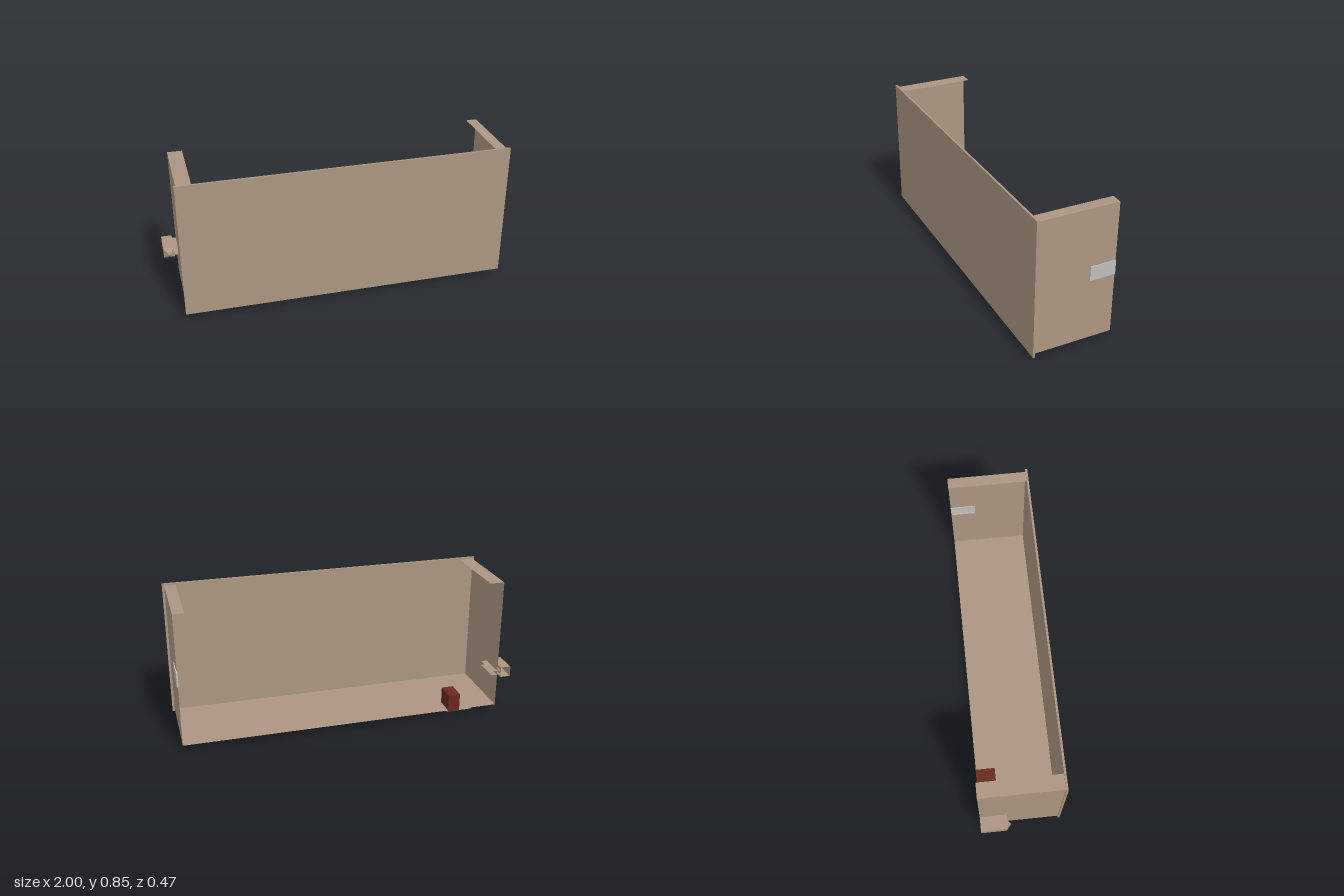
import * as THREE from 'three';

const tan = new THREE.MeshStandardMaterial({ color: 0xac9681, side: THREE.DoubleSide });
tan.name = 'tan panel';
const grey = new THREE.MeshStandardMaterial({ color: 0xc0beb9, side: THREE.DoubleSide });
grey.name = 'pale grey';
const red = new THREE.MeshStandardMaterial({ color: 0x6a2a21 });
red.name = 'dark red';

export function createModel() {
  const model = new THREE.Group();
  const xL = 0.985, xR = -0.915, yB = 0.045, yT = 0.836, zF = 0.225, zB = -0.237;

  function add(name, geometry, material, parent = model) {
    const mesh = new THREE.Mesh(geometry, material);
    mesh.name = name;
    parent.add(mesh);
    return mesh;
  }
  // Block or, where one extent is zero, a single open sheet
  function slab(name, material, [x0, x1], [y0, y1], [z0, z1], parent) {
    const w = x1 - x0, h = y1 - y0, d = z1 - z0;
    let g;
    if (w === 0) g = new THREE.PlaneGeometry(d, h).rotateY(Math.PI / 2);
    else if (h === 0) g = new THREE.PlaneGeometry(w, d).rotateX(-Math.PI / 2);
    else if (d === 0) g = new THREE.PlaneGeometry(w, h);
    else g = new THREE.BoxGeometry(w, h, d);
    g.translate((x0 + x1) / 2, (y0 + y1) / 2, (z0 + z1) / 2);
    return add(name, g, material, parent);
  }

  // Tray: front panel, thin walls, floor and top flanges
  slab('frontPanel', tan, [-0.925, 0.998], [0.031, 0.848], [zF, -zB]);
  slab('floor', tan, [xR, xL], [yB, yB], [zB, zF]);
  for (const [side, x, inner] of [['left', xL, 0.92], ['right', xR, -0.83]]) {
    slab(side + 'Wall', tan, [x, x], [yB, yT], [zB, zF]);
    slab(side + 'TopFlange', tan, [Math.min(x, inner), Math.max(x, inner)], [yT, yT], [zB, zF]);
  }

  // Strike plate outside the left wall, with its slim rim inside
  slab('strikePlate', grey, [xL, 0.99], [0.41, 0.495], [zB, -0.086]);
  const rim = new THREE.Group();
  rim.name = 'strikePlateRim';
  model.add(rim);
  for (const y of [0.41, 0.488]) slab('rimBar', grey, [0.981, xL], [y, y + 0.007], [zB, -0.086], rim);
  for (const z of [zB, -0.093]) slab('rimPost', grey, [0.981, xL], [0.41, 0.495], [z, z + 0.007], rim);

  // Red block through the floor, mounting plate and hanging tab
  slab('redBlock', red, [-0.68, -0.608], [0.034, 0.145], [zB, -0.122]);
  slab('mountingPlate', tan, [-0.76, -0.6], [0.038, 0.038], [zB, 0.01]);
  slab('hangingTab', grey, [-0.685, -0.602], [0, 0.036], [-0.12, -0.12]);

  // Latch: open square tube with a pointed front, on a two-plate neck
  const latch = new THREE.Group();
  latch.name = 'latch';
  model.add(latch);
  const zE = -0.09, lx = [-1, -0.938], ly = [0.228, 0.29];
  for (const x of lx) slab('latchSide', tan, [x, x], ly, [zB, zE], latch);
  for (const y of ly) slab('latchFace', tan, lx, [y, y], [zB, zE], latch);
  for (const y of [0.246, 0.272]) slab('latchNeck', tan, [-0.945, -0.88], [y, y], [zB, -0.08], latch);
  const tip = new THREE.ConeGeometry(0.031 * Math.SQRT2, 0.03, 4, 1, true);
  tip.rotateY(Math.PI / 4).rotateX(Math.PI / 2);
  const flatTip = tip.toNonIndexed();
  flatTip.computeVertexNormals();
  add('latchTip', flatTip, tan, latch).position.set(-0.969, 0.259, zE + 0.015);

  return model;
}
